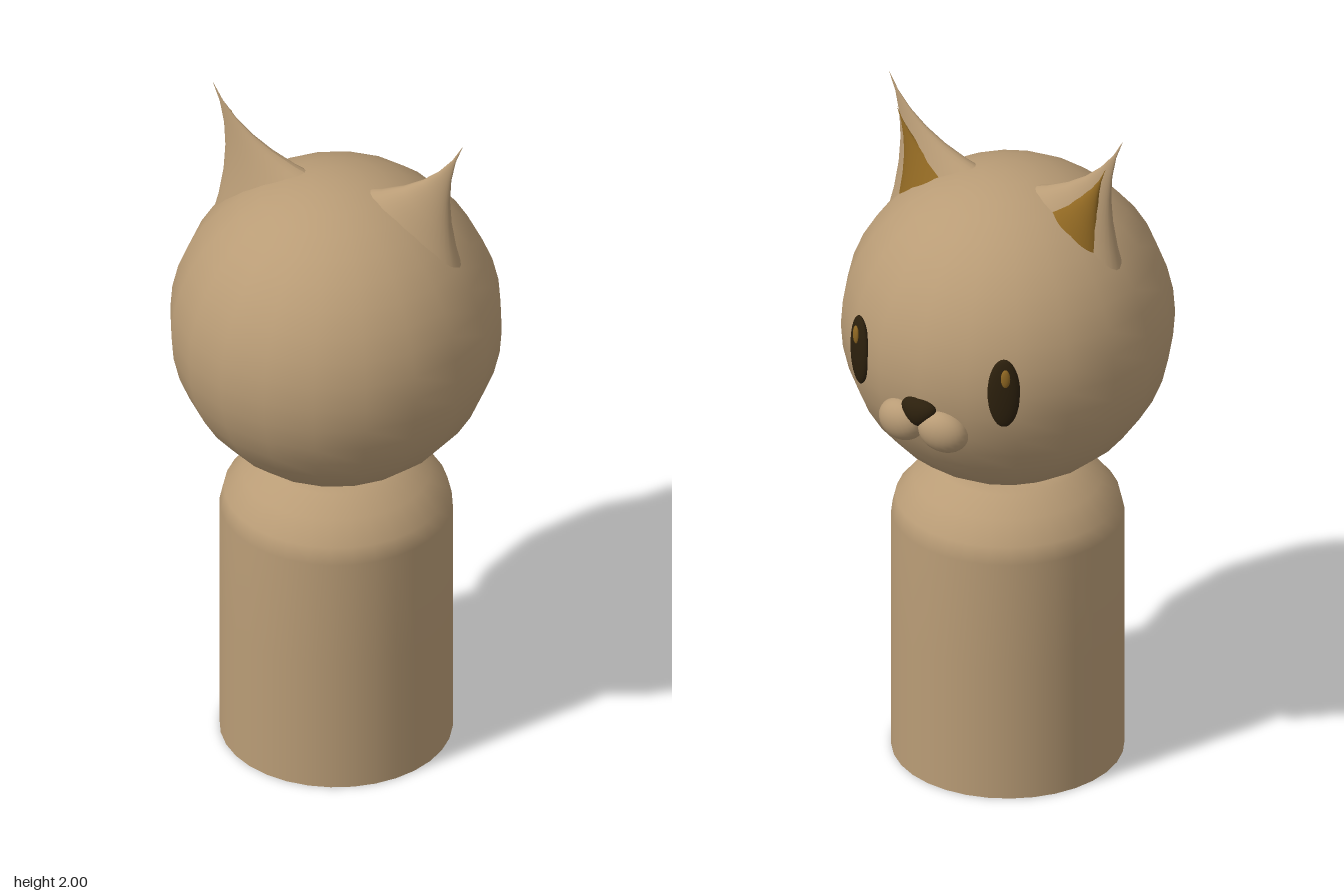
import * as THREE from 'three';

export function createModel() {
  const model = new THREE.Group();
  const mat = (name, color) => {
    const m = new THREE.MeshStandardMaterial({ color });
    m.name = name;
    return m;
  };
  const fur = mat('tan fur', 0xb99c76);
  const amber = mat('amber brown', 0x8f6722);
  const dark = mat('dark brown', 0x2c200d);

  const add = (name, geometry, material, parent = model) => {
    const mesh = new THREE.Mesh(geometry, material);
    mesh.name = name;
    parent.add(mesh);
    return mesh;
  };
  const ellipsoid = (rx, ry, rz, ws = 24, hs = 16) =>
    new THREE.SphereGeometry(1, ws, hs).scale(rx, ry, rz);

  // Skewed elliptical cone: tip, then outer and inner ends of its base in x and y
  const earCone = (s, tip, outer, inner, z, halfZ, reach) => {
    const g = new THREE.ConeGeometry(1, 1, 32, 6, true).rotateY(Math.PI / 2);
    const p = g.attributes.position;
    for (let i = 0; i < p.count; i++) {
      const t = 0.5 - p.getY(i);
      const k = t * reach;
      const x = p.getX(i), u = x * s;
      const dx = (outer[0] + inner[0]) / 2 - tip[0];
      const dy = (outer[1] + inner[1]) / 2 - tip[1];
      const hx = (outer[0] - inner[0]) / 2, hy = (outer[1] - inner[1]) / 2;
      p.setXYZ(i,
        s * tip[0] + k * s * dx + k * x * hx,
        tip[1] + k * dy + k * u * hy,
        z + k * p.getZ(i) * halfZ);
    }
    g.computeVertexNormals();
    return g;
  };

  // Body: a round post with a soft shoulder
  const profile = [[0.32, 0], [0.32, 0.4], [0.32, 0.73], [0.308, 0.78], [0.26, 0.84],
    [0.2, 0.885], [0.16, 0.9], [0, 0.9]].map(([x, y]) => new THREE.Vector2(x, y));
  add('body', new THREE.LatheGeometry(profile, 32), fur).position.z = 0.01;
  add('bodyBase', new THREE.CircleGeometry(0.32, 32).rotateX(Math.PI / 2), fur).position.z = 0.01;

  // Head
  add('head', ellipsoid(0.457, 0.46, 0.464, 20, 20), fur).position.set(0, 1.33, 0.011);

  for (const s of [1, -1]) {
    const side = s > 0 ? 'left' : 'right';

    // Ears with an amber inner face
    add(side + 'Ear', earCone(s, [0.38, 2], [0.38, 1.59], [0.08, 1.78], 0, 0.076, 1.08), fur);
    add(side + 'InnerEar',
      earCone(s, [0.338, 1.91], [0.338, 1.6], [0.14, 1.745], -0.024, 0.07, 1.04), amber);

    // Eyes turned outward along the face, each with a small glint
    const eye = new THREE.Group();
    eye.name = side + 'Eye';
    eye.position.set(s * 0.233, 1.345, -0.38);
    eye.rotation.y = Math.PI - s * 0.53;
    model.add(eye);
    add('eyeball', ellipsoid(0.045, 0.105, 0.018), dark, eye);
    add('glint', ellipsoid(0.013, 0.028, 0.007), amber, eye).position.set(0.005, 0.052, 0.015);

    // Muzzle pads
    const pad = add(side + 'MuzzlePad', ellipsoid(0.073, 0.064, 0.05), fur);
    pad.position.set(s * 0.067, 1.2, -0.428);
    pad.rotation.set(-0.25, -s * 0.15, -s * 0.3);
  }

  // Nose: an ellipsoid narrowed toward the bottom
  const nose = ellipsoid(0.055, 0.042, 0.03);
  const p = nose.attributes.position;
  for (let i = 0; i < p.count; i++) {
    p.setX(i, p.getX(i) * (0.9 + 9 * p.getY(i)));
  }
  nose.computeVertexNormals();
  add('nose', nose, dark).position.set(0, 1.25, -0.447);

  return model;
}
